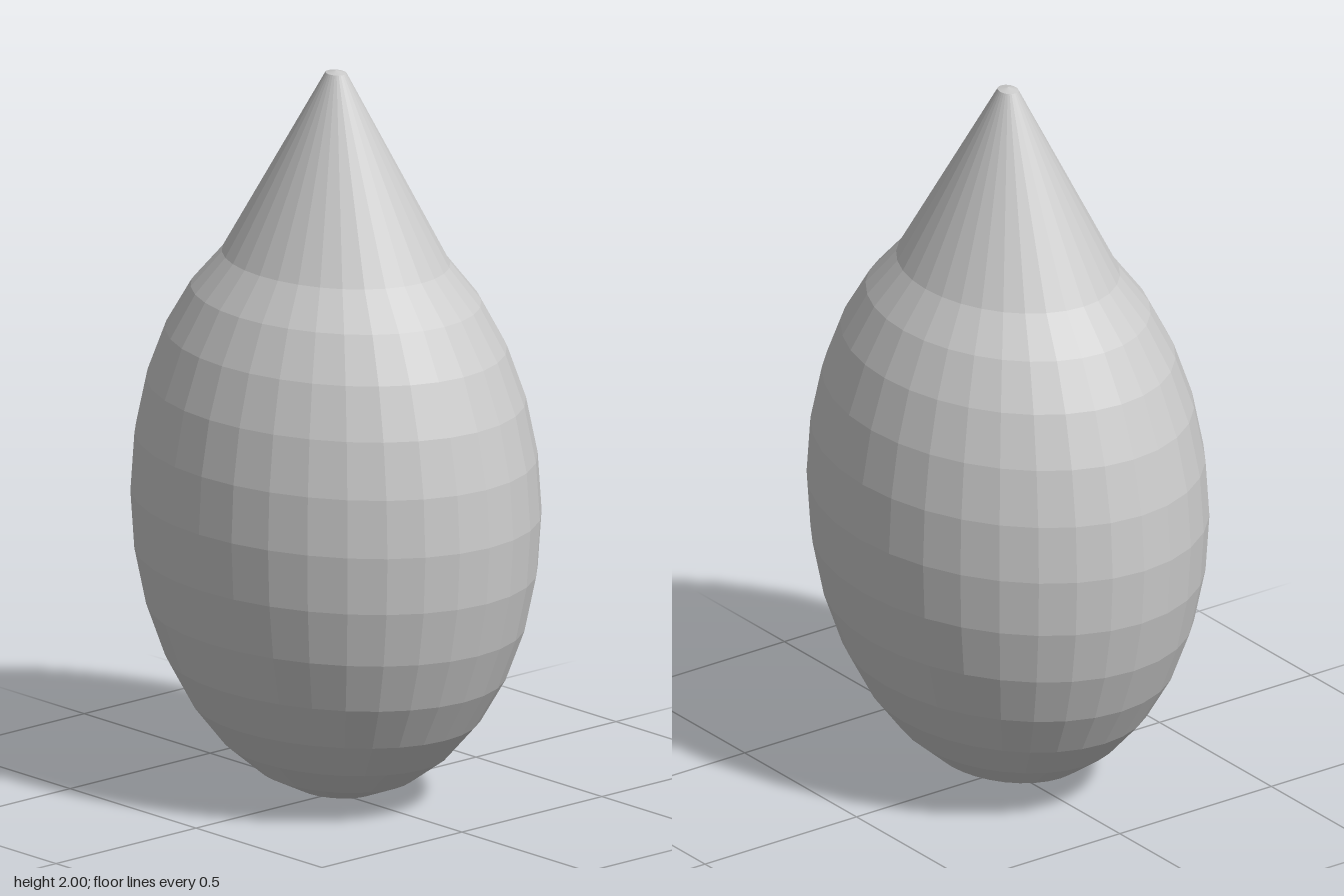
import * as THREE from 'three';

export function createModel() {
  const group = new THREE.Group();
  const material = new THREE.MeshStandardMaterial({ color: 0xcccccc, flatShading: true });

  // Egg-shaped lower body, following a sphere's rings up to the shoulder
  const rings = 16, halfHeight = 0.81;
  const profile = [];
  for (let i = 0; i <= 13; i++) {
    const a = (i / rings) * Math.PI;
    profile.push(new THREE.Vector2(i === 0 ? 0 : Math.sin(a), halfHeight * (1 - Math.cos(a))));
  }

  // Straight conical neck ending in a small, nearly flat tip
  profile.push(new THREE.Vector2(0.052, 1.993), new THREE.Vector2(0, 2));

  // Oval cross-section: narrower in x than in z
  const geometry = new THREE.LatheGeometry(profile, 32);
  geometry.scale(0.49, 1, 0.61);

  const body = new THREE.Mesh(geometry, material);
  body.name = 'teardropBody';
  group.add(body);
  return group;
}
